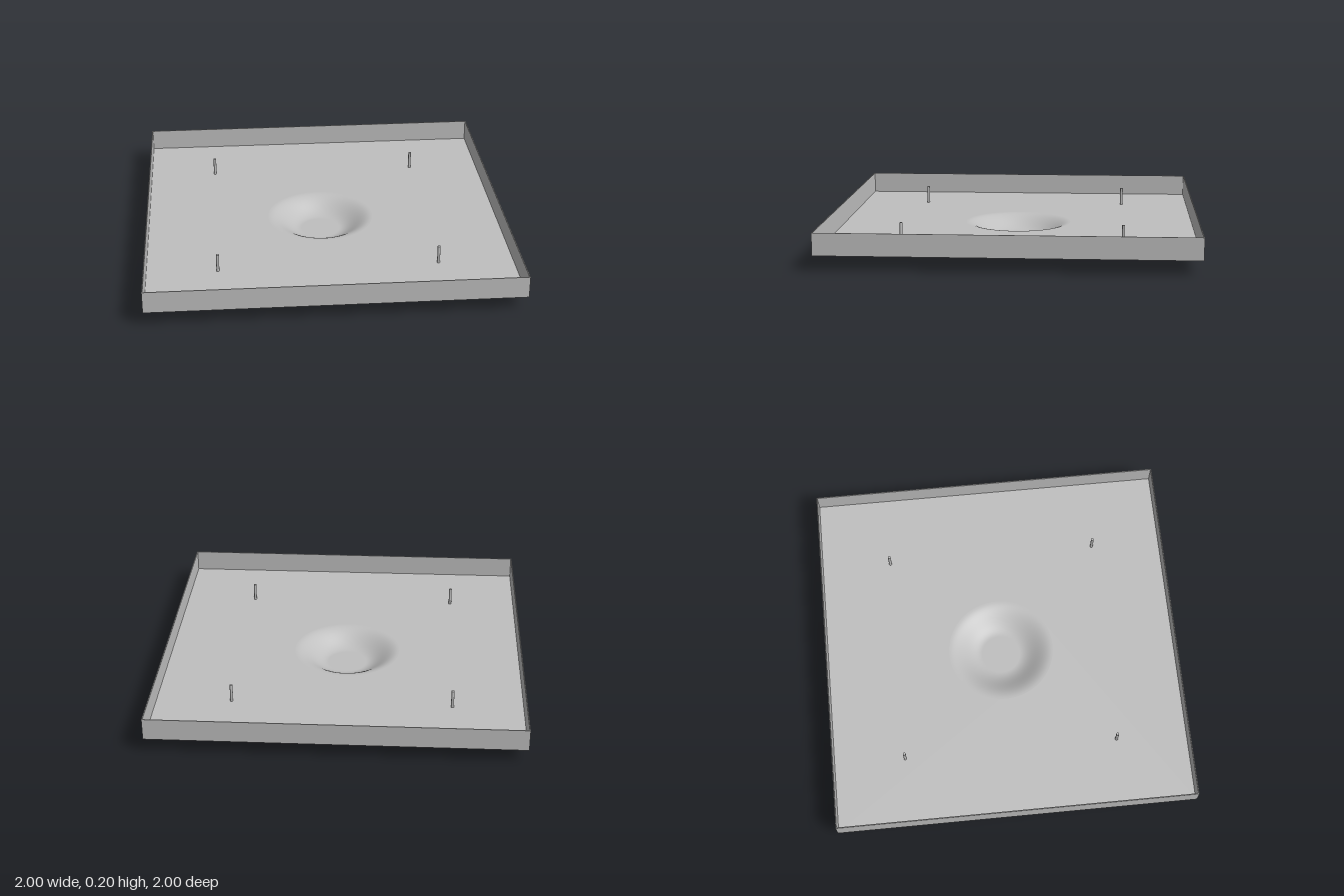
import * as THREE from 'three';

export function createModel() {
  const group = new THREE.Group();
  group.name = 'tray';
  const grey = new THREE.MeshStandardMaterial({ color: 0xbfbfbf, side: THREE.DoubleSide });
  grey.name = 'grey';

  const add = (name, geometry, x, y, z) => {
    const mesh = new THREE.Mesh(geometry, grey);
    mesh.name = name;
    mesh.position.set(x, y, z);
    group.add(mesh);
  };

  const floorY = 0.08, rimY = 0.2, wall = 0.005;
  const centreX = -0.013; // basin and pins sit slightly off centre
  const outerR = 0.3, innerR = 0.11;

  // Floor sheet with a round opening for the basin
  const sheet = new THREE.Shape([[-1, -1], [1, -1], [1, 1], [-1, 1]].map(([x, y]) => new THREE.Vector2(x, y)));
  sheet.holes.push(new THREE.Path().absarc(centreX, 0, outerR, 0, Math.PI * 2, true));
  add('floor', new THREE.ShapeGeometry(sheet, 32).rotateX(-Math.PI / 2), 0, floorY, 0);

  // Basin: flat bottom blending into the floor with an S-curve
  const profile = [new THREE.Vector2(0, 0)];
  const steps = 20;
  for (let i = 0; i <= steps; i++) {
    const t = i / steps;
    profile.push(new THREE.Vector2(
      innerR + (outerR - innerR) * t,
      floorY * (1 - Math.cos(Math.PI * t)) / 2
    ));
  }
  add('basin', new THREE.LatheGeometry(profile, 64), centreX, 0, 0);

  // Thin upright walls
  const h = rimY - floorY, midY = floorY + h / 2, edge = 1 - wall / 2;
  for (const s of [-1, 1]) {
    add(s > 0 ? 'leftWall' : 'rightWall', new THREE.BoxGeometry(wall, h, 2), s * edge, midY, 0);
    add(s > 0 ? 'frontWall' : 'backWall', new THREE.BoxGeometry(2 - 2 * wall, h, wall), 0, midY, s * edge);
  }

  // Four slim pins standing on the floor
  const pinH = 0.1;
  for (const sx of [-1, 1]) for (const sz of [-1, 1]) {
    add(`${sz > 0 ? 'front' : 'back'}${sx > 0 ? 'Left' : 'Right'}Pin`,
      new THREE.CylinderGeometry(0.008, 0.008, pinH, 16), centreX + sx * 0.598, floorY + pinH / 2, sz * 0.598);
  }
  return group;
}
